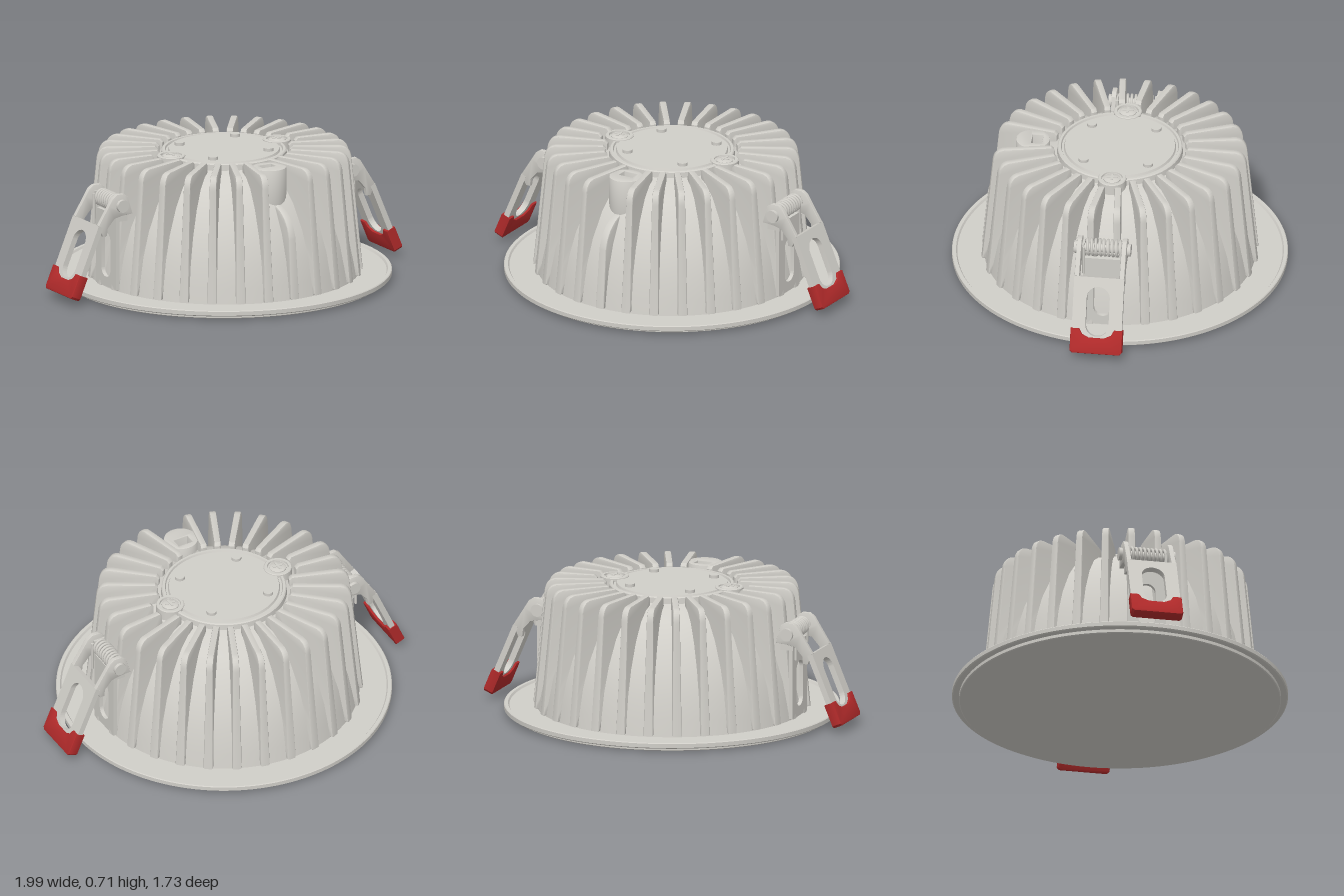
import * as THREE from 'three';
import { toCreasedNormals } from 'three/addons/utils/BufferGeometryUtils.js';

const grey = new THREE.MeshStandardMaterial({ color: 0xd0cec8 });
grey.name = 'castGrey';
const red = new THREE.MeshStandardMaterial({ color: 0xb02a2a });
red.name = 'redRubber';

const V2 = (p) => p.map(([x, y]) => new THREE.Vector2(x, y));

function add(parent, name, geo, mat = grey, x = 0, y = 0, z = 0) {
  const m = new THREE.Mesh(geo, mat);
  m.name = name;
  m.position.set(x, y, z);
  parent.add(m);
  return m;
}

const lathe = (pts, seg = 96, crease = 0.5) =>
  toCreasedNormals(new THREE.LatheGeometry(V2(pts), seg), crease);

function extrude(shape, depth, bevel = 0) {
  const g = new THREE.ExtrudeGeometry(shape, {
    depth: depth - 2 * bevel, curveSegments: 16, bevelEnabled: bevel > 0,
    bevelSize: bevel, bevelOffset: -bevel, bevelThickness: bevel, bevelSegments: 2,
  });
  g.translate(0, 0, -(depth - 2 * bevel) / 2);
  return g;
}

// Radial cooling fin, thicker towards its foot
function finGeometry(start, low) {
  const s = new THREE.Shape();
  s.moveTo(0.58, 0.045);
  s.lineTo(0.715, 0.045);
  if (low) {
    s.lineTo(0.685, 0.36);
    s.quadraticCurveTo(0.66, 0.48, 0.53, 0.51);
    s.lineTo(0.5, 0.42);
  } else {
    s.quadraticCurveTo(0.69, 0.3, 0.658, 0.63);
    s.quadraticCurveTo(0.652, 0.7, 0.59, 0.7);
    s.lineTo(start + 0.015, 0.7);
    s.lineTo(start, 0.685);
    s.lineTo(start, 0.6);
    s.lineTo(0.46, 0.5);
  }
  s.closePath();
  const g = extrude(s, 0.034, 0.006);
  const p = g.attributes.position;
  for (let i = 0; i < p.count; i++) p.setZ(i, p.getZ(i) * (1 + 0.7 * (0.7 - p.getY(i))));
  return toCreasedNormals(g, 0.6);
}

class Helix extends THREE.Curve {
  getPoint(t, v = new THREE.Vector3()) {
    const a = t * Math.PI * 2 * 9;
    return v.set(0.04 * Math.cos(a), 0.04 * Math.sin(a), -0.095 + 0.19 * t);
  }
}

function slot(r, y0, y1) {
  const h = new THREE.Path();
  h.absarc(0, y1 - r, r, 0, Math.PI, false);
  h.absarc(0, y0 + r, r, Math.PI, Math.PI * 2, false);
  h.closePath();
  return h;
}

// Shape drawn in the z-y plane with its thickness along x
function sidePlate(points, depth, hole, bevel = 0) {
  const s = new THREE.Shape(V2(points));
  if (hole) s.holes.push(hole);
  return toCreasedNormals(extrude(s, depth, bevel).rotateY(Math.PI / 2), 0.6);
}

function springClip() {
  const clip = new THREE.Group();
  clip.name = 'springClip';

  // Fixed bracket with a slot and pivot ears
  add(clip, 'bracketPlate', sidePlate(
    [[-0.1, 0.05], [0.1, 0.05], [0.1, 0.45], [-0.1, 0.45]], 0.02, slot(0.045, 0.1, 0.34)), grey, 0.7);
  for (const s of [-1, 1]) {
    add(clip, 'bracketEar', new THREE.BoxGeometry(0.07, 0.12, 0.015), grey, 0.68, 0.475, s * 0.1);
  }

  // Pivot pin and coil spring
  add(clip, 'pivotPin', new THREE.CylinderGeometry(0.022, 0.022, 0.27, 20).rotateX(Math.PI / 2), grey, 0.69, 0.505);
  for (const s of [-1, 1]) {
    add(clip, 'pinHead', new THREE.CylinderGeometry(0.033, 0.033, 0.02, 24).rotateX(Math.PI / 2), grey, 0.693, 0.505, s * 0.137);
  }
  add(clip, 'coilSpring', new THREE.TubeGeometry(new Helix(), 200, 0.0075, 8), grey, 0.685, 0.505);
  add(clip, 'springLeg', new THREE.CylinderGeometry(0.0075, 0.0075, 0.16, 8), grey, 0.725, 0.445, 0.095);

  // Side cheeks from the pivot to the arm
  const cheek = new THREE.Shape(V2([[0.625, 0.455], [0.69, 0.45], [0.735, 0.44], [0.775, 0.395],
    [0.78, 0.355], [0.805, 0.355], [0.83, 0.415], [0.77, 0.51], [0.745, 0.55], [0.72, 0.567],
    [0.68, 0.567], [0.655, 0.55]]));
  for (const s of [-1, 1]) {
    add(clip, 'armCheek', toCreasedNormals(extrude(cheek, 0.025, 0.004), 0.6), grey, 0, 0, s * 0.117);
  }

  // Sloping arm with a long slot and a notched rubber tip
  const arm = new THREE.Group();
  arm.name = 'arm';
  arm.position.set(0.973, 0.04, 0);
  arm.rotation.z = 0.4;
  add(arm, 'armPlate', sidePlate(
    [[-0.13, 0.06], [0.13, 0.06], [0.13, 0.4], [-0.13, 0.4]], 0.03, slot(0.06, 0.09, 0.35)));
  add(arm, 'rubberTip', sidePlate(
    [[-0.135, 0.012], [-0.123, 0], [0.123, 0], [0.135, 0.012], [0.135, 0.128], [0.09, 0.128],
      [0.075, 0.1], [0.04, 0.083], [-0.04, 0.083], [-0.075, 0.1], [-0.09, 0.128], [-0.135, 0.128]],
    0.054, null, 0.005), red);
  clip.add(arm);
  return clip;
}

export function createModel() {
  const model = new THREE.Group();
  model.name = 'recessedDownlight';

  // Flange with a shallow raised lip
  add(model, 'flange', lathe([[0, 0], [0.825, 0], [0.83, 0.004], [0.83, 0.02], [0.86, 0.02], [0.866, 0.025],
    [0.866, 0.046], [0.862, 0.05], [0.845, 0.05], [0.838, 0.04], [0.66, 0.04]], 128, 0.4));

  // Domed heat sink core
  add(model, 'domeCore', lathe([[0.7, 0.035], [0.685, 0.12], [0.66, 0.24], [0.615, 0.37], [0.545, 0.5],
    [0.47, 0.59], [0.4, 0.635], [0.3, 0.66]], 96, 0.8));

  // Ring of fins, shortened at the cable entry and the screw bosses
  const fin = finGeometry(0.34), shortFin = finGeometry(0.4), lowFin = finGeometry(0.5, true);
  const COUNT = 30;
  for (let i = 0; i < COUNT; i++) {
    const a = (i / COUNT) * Math.PI * 2;
    const besideBoss = Math.abs(Math.sin(a)) > 0.98;
    const m = add(model, 'coolingFin', i === 0 ? lowFin : besideBoss ? shortFin : fin);
    m.rotation.y = a - Math.PI / 2;
  }

  // Central hub with a groove round its cap
  add(model, 'hub', lathe([[0.33, 0.6], [0.322, 0.683], [0.316, 0.688], [0.304, 0.688], [0.3, 0.678],
    [0.289, 0.678], [0.284, 0.69], [0, 0.69]], 96, 0.4));
  for (const x of [-1, 1]) for (const z of [-1, 1]) {
    add(model, 'hubPin', new THREE.CylinderGeometry(0.026, 0.026, 0.03, 24), grey, x * 0.167, 0.691, z * 0.167);
  }

  // Screw bosses with cross-head screws
  for (const s of [-1, 1]) {
    add(model, 'screwBoss', lathe([[0.076, 0.58], [0.073, 0.693], [0.069, 0.697], [0.055, 0.697],
      [0.053, 0.687], [0, 0.687]], 40, 0.4), grey, s * 0.318);
    add(model, 'screwHead', lathe([[0.044, 0.68], [0.044, 0.693], [0.032, 0.699], [0, 0.699]], 32, 0.5), grey, s * 0.318);
    for (const [w, d] of [[0.055, 0.012], [0.012, 0.055]]) {
      add(model, 'screwCross', new THREE.BoxGeometry(w, 0.006, d), grey, s * 0.318, 0.699, 0);
    }
  }

  // Cable entry with a rectangular opening
  const entry = new THREE.Shape();
  entry.absarc(0, 0, 0.088, 0, Math.PI * 2, false);
  entry.holes.push(new THREE.Path(V2([[-0.04, -0.005], [-0.04, 0.05], [0.04, 0.05], [0.04, -0.005]])));
  add(model, 'cableEntry', toCreasedNormals(extrude(entry, 0.29, 0.004).rotateX(-Math.PI / 2), 0.6), grey, 0, 0.548, 0.452);

  // Spring clips on both sides
  const left = springClip();
  const right = springClip();
  right.rotation.y = Math.PI;
  model.add(left, right);

  return model;
}
